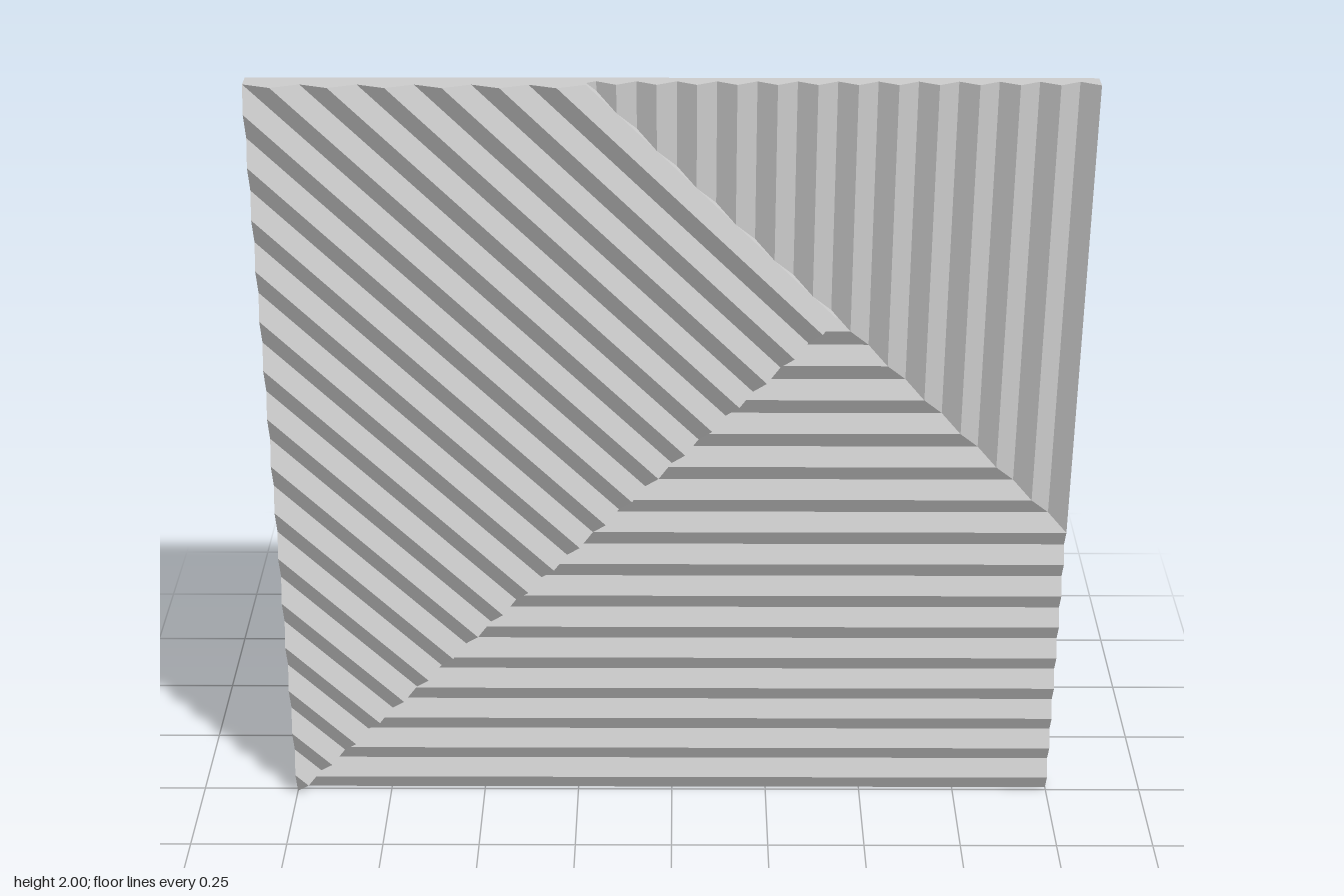
import * as THREE from 'three';

const STEP = 0.8 / 17;      // half the width of one rib
const RISE = STEP / 2;      // height of one rib
const BACK = -1.5 * RISE;   // z of the flat back
const LOW = BACK + RISE;    // front of the slab, where the lower ribs start

// Keep the part of a convex polygon where f(point) >= 0
function clip(poly, f) {
  const out = [];
  poly.forEach((a, i) => {
    const b = poly[(i + 1) % poly.length];
    const fa = f(a), fb = f(b);
    if (fa >= 0) out.push(a);
    if (fa * fb < 0) out.push(a.clone().lerp(b, fa / (fa - fb)));
  });
  return out;
}

// Triangular ribs over a polygon; across(p) counts half ribs from a valley
function ribbedPanel(name, corners, across, valley, wallAllEdges) {
  const poly = corners.map(([x, y]) => new THREE.Vector2(x, y));
  const ts = poly.map(across);
  const tMin = Math.min(...ts), tMax = Math.max(...ts);
  const height = (p) => valley + RISE * (1 - Math.abs((across(p) % 2) - 1));
  const same = (a, b) => Math.abs(a - b) < 1e-6;
  const pos = [];
  const tri = (...pts) => pts.forEach((p) => pos.push(...p));

  for (let k = Math.floor(tMin + 1e-6); k < tMax - 1e-6; k++) {
    let band = clip(poly, (p) => across(p) - k + 1e-9);
    band = clip(band, (p) => k + 1 - across(p) + 1e-9);
    if (band.length < 3) continue;
    const top = band.map((p) => [p.x, p.y, height(p)]);
    // Sloped rib face
    for (let i = 1; i < top.length - 1; i++) tri(top[0], top[i], top[i + 1]);
    // Walls along the rim of the panel
    band.forEach((a, i) => {
      const j = (i + 1) % band.length, b = band[j];
      const ta = across(a), tb = across(b);
      if (same(ta, tb) && !same(ta, tMin) && !same(ta, tMax)) return;
      const outer = (same(a.x, b.x) && same(Math.abs(a.x), 1)) ||
        (same(a.y, b.y) && same(Math.abs(a.y - 1), 1));
      if (!outer && !wallAllEdges) return;
      const a0 = [a.x, a.y, LOW], b0 = [b.x, b.y, LOW];
      tri(a0, b0, top[j], a0, top[j], top[i]);
    });
  }
  const geo = new THREE.BufferGeometry();
  geo.setAttribute('position', new THREE.Float32BufferAttribute(pos, 3));
  geo.computeVertexNormals();
  const mesh = new THREE.Mesh(geo, new THREE.MeshStandardMaterial({ color: 0xcccccc, flatShading: true }));
  mesh.name = name;
  return mesh;
}

export function createModel() {
  const group = new THREE.Group();
  group.name = 'ribbedWallTile';

  // Flat slab behind the ribs
  const slab = new THREE.Mesh(
    new THREE.BoxGeometry(2, 2, LOW - BACK),
    new THREE.MeshStandardMaterial({ color: 0xcccccc, flatShading: true })
  );
  slab.position.set(0, 1, (LOW + BACK) / 2);
  slab.name = 'backSlab';
  group.add(slab);

  // Raised panel with diagonal ribs
  group.add(ribbedPanel('diagonalRibs',
    [[-1, 0], [0.4, 1.4], [-0.2, 2], [-1, 2]],
    (p) => (p.x + p.y + 1) * 15, LOW + RISE, true));

  // Lower panels, whose ribs meet in a mitre
  group.add(ribbedPanel('verticalRibs',
    [[0.4, 1.4], [1, 0.8], [1, 2], [-0.2, 2]],
    (p) => (1.8 - p.x) / STEP, LOW, false));
  group.add(ribbedPanel('horizontalRibs',
    [[-1, 0], [1, 0], [1, 0.8], [0.4, 1.4]],
    (p) => p.y / STEP, LOW, false));

  return group;
}
